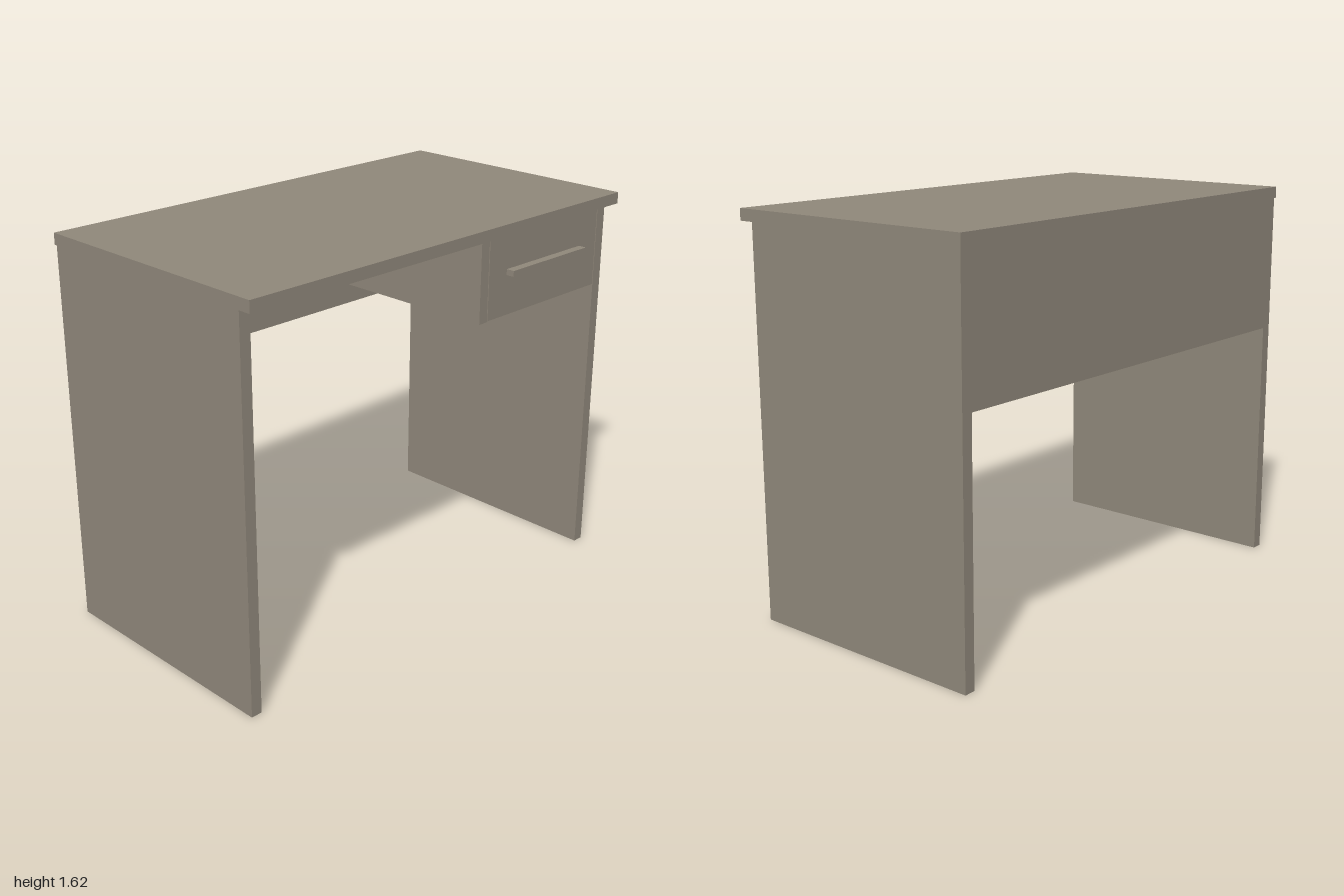
import * as THREE from 'three';

export function createModel() {
  const desk = new THREE.Group();
  desk.name = 'desk';
  const wood = new THREE.MeshStandardMaterial({ color: 0x8f877a });
  wood.name = 'greyBrownWood';

  // Board given by its extents along each axis
  const board = (name, [x0, x1], [y0, y1], [z0, z1], parent = desk) => {
    const mesh = new THREE.Mesh(new THREE.BoxGeometry(x1 - x0, y1 - y0, z1 - z0), wood);
    mesh.position.set((x0 + x1) / 2, (y0 + y1) / 2, (z0 + z1) / 2);
    mesh.name = name;
    parent.add(mesh);
  };

  const back = -0.55, front = 0.495, under = 1.578;

  // Carcass
  board('tableTop', [-1, 1], [under, 1.625], [-0.555, 0.555]);
  board('leftSidePanel', [0.948, 0.995], [0, under], [back, front]);
  board('rightSidePanel', [-0.995, -0.948], [0, under], [back, front]);
  board('backPanel', [-0.948, 0.948], [1.015, under], [back, back + 0.045]);
  board('drawerDivider', [0.215, 0.26], [1.225, under], [back + 0.045, front]);

  // Drawer: front, handle and an open box behind, with its base raised
  const drawer = new THREE.Group();
  drawer.name = 'drawer';
  desk.add(drawer);
  const boxBack = -0.48, boxFront = front - 0.045;
  board('drawerFront', [0.264, 0.944], [1.228, 1.574], [boxFront, front], drawer);
  board('drawerHandle', [0.37, 0.835], [1.394, 1.418], [front, 0.53], drawer);
  board('drawerBase', [0.268, 0.94], [1.265, 1.285], [boxBack, boxFront], drawer);
  board('drawerBack', [0.298, 0.91], [1.285, 1.53], [boxBack, boxBack + 0.03], drawer);
  for (const [name, x] of [['drawerRightSide', 0.268], ['drawerLeftSide', 0.91]])
    board(name, [x, x + 0.03], [1.285, 1.53], [boxBack, boxFront], drawer);

  return desk;
}
